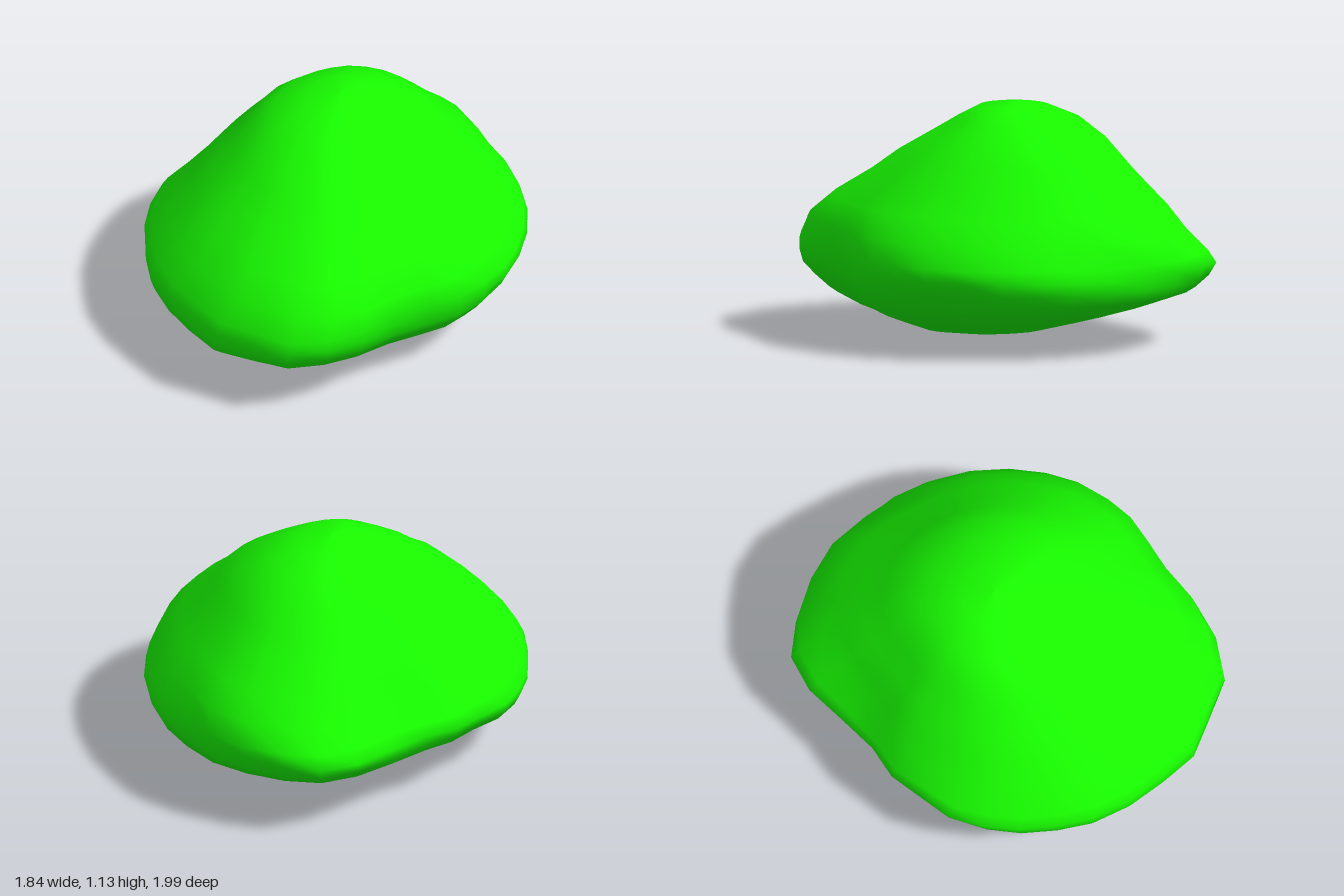
import * as THREE from 'three';

// Plan outline of the widest part, as [x, z] running from +x towards +z
const OUTLINE = [
  [0.92, 0], [0.89, 0.19], [0.83, 0.36], [0.75, 0.5], [0.63, 0.62], [0.5, 0.71], [0.35, 0.76], [0.18, 0.82],
  [0, 0.93], [-0.18, 0.99], [-0.37, 0.99], [-0.52, 0.88], [-0.68, 0.77], [-0.78, 0.6], [-0.87, 0.42], [-0.92, 0.23],
  [-0.92, 0.05], [-0.9, -0.13], [-0.85, -0.29], [-0.77, -0.44], [-0.64, -0.55], [-0.51, -0.66], [-0.35, -0.72], [-0.18, -0.83],
  [0, -0.95], [0.18, -1], [0.35, -0.94], [0.51, -0.83], [0.66, -0.7], [0.78, -0.53], [0.87, -0.35], [0.91, -0.18],
];

// Horizontal sections: [y, xMin, xMax, zMin, zMax]
const SECTIONS = [
  [0, -0.09, -0.09, 0.13, 0.13],
  [0.005, -0.18, 0, 0, 0.26],
  [0.04, -0.3, 0.25, -0.19, 0.45],
  [0.09, -0.52, 0.44, -0.37, 0.6],
  [0.14, -0.68, 0.63, -0.53, 0.73],
  [0.2, -0.83, 0.8, -0.72, 0.85],
  [0.26, -0.9, 0.88, -0.89, 0.92],
  [0.32, -0.92, 0.91, -0.96, 0.98],
  [0.38, -0.92, 0.92, -1, 1],
  [0.44, -0.89, 0.9, -0.95, 1],
  [0.55, -0.79, 0.83, -0.83, 0.96],
  [0.66, -0.69, 0.74, -0.75, 0.84],
  [0.77, -0.58, 0.64, -0.65, 0.67],
  [0.87, -0.48, 0.56, -0.56, 0.54],
  [0.96, -0.39, 0.47, -0.48, 0.39],
  [1.05, -0.28, 0.34, -0.36, 0.24],
  [1.11, -0.13, 0.18, -0.21, 0.13],
  [1.13, 0.03, 0.03, -0.05, -0.05],
];
const RIM = 0.38;

// Local swellings and hollows: [plan angle in degrees, width, amount]
const UPPER = [[-52, 22, 0.13], [235, 18, 0.05]];
const LOWER = [[20, 18, -0.07], [-50, 24, 0.05], [220, 20, -0.05], [130, 22, 0.04]];

function sumLobes(lobes, angle) {
  return lobes.reduce((sum, [centre, width, amount]) => {
    const d = THREE.MathUtils.euclideanModulo(angle - centre + 180, 360) - 180;
    return sum + amount * Math.exp(-((d / width) ** 2));
  }, 0);
}

// Upper lobes fade out towards the crown, lower lobes stay down to the base
function swell(angle, y) {
  if (y <= RIM) return sumLobes(LOWER, angle) * Math.min(1, (RIM - y) / 0.12);
  return sumLobes(UPPER, angle) * Math.min(1, (y - RIM) / 0.14) * Math.min(1, (1.13 - y) / 0.55);
}

// Loft the sections; the outline grows rounder towards the crown and the base
function moundGeometry() {
  const n = OUTLINE.length, last = SECTIONS.length - 1, positions = [], indices = [];
  SECTIONS.forEach(([y, x0, x1, z0, z1], row) => {
    const roundness = y > RIM ? 0.8 * (y - RIM) / 0.75 : 0.3 * (1 - y / RIM);
    OUTLINE.forEach(([px, pz], i) => {
      const u = px / 0.92;
      const angle = THREE.MathUtils.radToDeg(Math.atan2(pz, u));
      const scale = THREE.MathUtils.lerp(1, 1 / Math.hypot(u, pz), roundness) + swell(angle, y);
      positions.push(
        (x0 + x1) / 2 + u * scale * (x1 - x0) / 2,
        y,
        (z0 + z1) / 2 + pz * scale * (z1 - z0) / 2,
      );
      if (row === last) return;
      const a = row * n + i, b = row * n + (i + 1) % n;
      if (row < last - 1) indices.push(a, a + n, b + n);
      else indices.push(a, a + n, b);
      if (row > 0 && row < last - 1) indices.push(a, b + n, b);
    });
  });
  const geometry = new THREE.BufferGeometry();
  geometry.setAttribute('position', new THREE.Float32BufferAttribute(positions, 3));
  geometry.setIndex(indices);
  geometry.computeVertexNormals();
  return geometry;
}

export function createModel() {
  const group = new THREE.Group();
  group.name = 'bush';
  const foliage = new THREE.Mesh(moundGeometry(), new THREE.MeshStandardMaterial({ color: 0x18ff00 }));
  foliage.name = 'foliage';
  group.add(foliage);
  return group;
}
